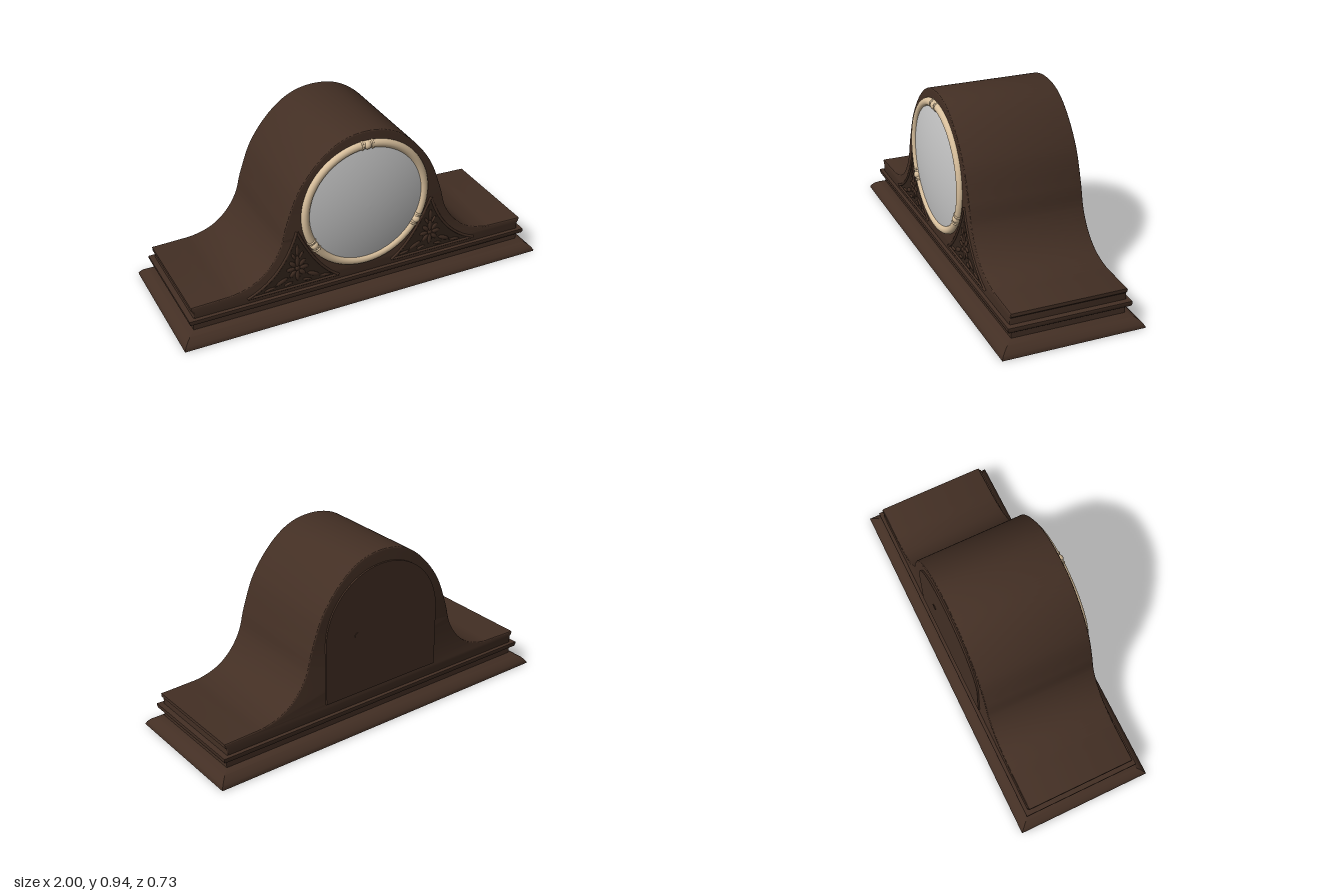
import * as THREE from 'three';
import { toCreasedNormals } from 'three/addons/utils/BufferGeometryUtils.js';

const V2 = (x, y) => new THREE.Vector2(x, y);
const V3 = (x, y, z) => new THREE.Vector3(x, y, z);
const DIAL_Y = 0.538;

// Rectangular moulding: each profile point is [half depth, height]
function mouldingGeometry(profile, extraX) {
  const pos = [];
  const rings = profile.map(([d, y]) =>
    [[1, 1], [1, -1], [-1, -1], [-1, 1]].map(([sx, sz]) => [sx * (d + extraX), y, sz * d]));
  const tri = (...p) => p.forEach((v) => pos.push(...v));
  for (let i = 0; i < rings.length - 1; i++) {
    for (let k = 0; k < 4; k++) {
      const n = (k + 1) % 4;
      const a = rings[i][k], b = rings[i][n], c = rings[i + 1][n], d = rings[i + 1][k];
      tri(a, b, c);
      tri(a, c, d);
    }
  }
  const lo = rings[0], hi = rings[rings.length - 1];
  tri(lo[0], lo[3], lo[2]);
  tri(lo[0], lo[2], lo[1]);
  tri(hi[0], hi[1], hi[2]);
  tri(hi[0], hi[2], hi[3]);
  const g = new THREE.BufferGeometry();
  g.setAttribute('position', new THREE.Float32BufferAttribute(pos, 3));
  return toCreasedNormals(g, 0.6);
}

// Humped silhouette extruded through the depth
function bodyGeometry() {
  const half = [[0.935, 0.193], [0.8, 0.197], [0.7, 0.204], [0.6, 0.238], [0.52, 0.305], [0.462, 0.40],
    [0.428, 0.52], [0.364, 0.685], [0.257, 0.825], [0.136, 0.911]];
  const curve = [
    ...half.map(([x, y]) => V2(x, y)), V2(0, 0.937),
    ...half.slice().reverse().map(([x, y]) => V2(-x, y)),
  ];
  const shape = new THREE.Shape();
  shape.moveTo(-0.925, 0.12);
  shape.lineTo(0.925, 0.12);
  shape.lineTo(0.925, 0.165);
  shape.lineTo(0.935, 0.175);
  shape.lineTo(0.935, 0.193);
  shape.splineThru(curve.slice(1));
  shape.lineTo(-0.935, 0.175);
  shape.lineTo(-0.925, 0.165);
  const b = 0.008;
  const g = new THREE.ExtrudeGeometry(shape, {
    depth: 0.6 - 2 * b, bevelEnabled: true, bevelSize: b, bevelThickness: b,
    bevelOffset: -b, bevelSegments: 3, curveSegments: 72,
  });
  g.translate(0, 0, -0.3 + b);
  return toCreasedNormals(g, 0.5);
}

export function createModel() {
  const model = new THREE.Group();
  model.name = 'mantelClock';
  const mat = (name, color) => {
    const m = new THREE.MeshStandardMaterial({ color });
    m.name = name;
    return m;
  };
  const wood = mat('dark walnut', 0x432f24);
  const recess = mat('shadowed walnut', 0x32241b);
  const brass = mat('pale brass', 0xd8bf9c);
  const glass = mat('grey glass', 0xc8c8c8);
  const add = (name, geo, material, parent = model) => {
    const m = new THREE.Mesh(geo, material);
    m.name = name;
    parent.add(m);
    return m;
  };

  // Stepped plinth and case
  add('base', mouldingGeometry([
    [0.367, 0], [0.367, 0.006], [0.359, 0.02], [0.345, 0.035], [0.325, 0.048], [0.293, 0.06],
    [0.293, 0.096], [0.305, 0.097], [0.314, 0.104], [0.318, 0.115], [0.318, 0.129], [0.3, 0.131],
  ], 0.634), wood);
  add('case', bodyGeometry(), wood);

  // Domed glass
  const dome = [];
  for (let i = 0; i <= 12; i++) {
    const r = 0.318 * (1 - i / 12);
    dome.push(V2(r, 0.306 + 0.034 * (1 - (r / 0.318) ** 2)));
  }
  const glassMesh = add('dialGlass', new THREE.LatheGeometry(dome, 64).rotateX(Math.PI / 2), glass);
  glassMesh.position.y = DIAL_Y;

  // Bezel with three bound knots
  const bezel = new THREE.Group();
  bezel.name = 'bezel';
  bezel.position.set(0, DIAL_Y, 0.3);
  model.add(bezel);
  add('bezelRing', new THREE.TorusGeometry(0.329, 0.0215, 16, 80), brass, bezel);
  for (const deg of [90, 210, 330]) {
    const knot = new THREE.Group();
    knot.name = 'bezelKnot';
    knot.rotation.z = THREE.MathUtils.degToRad(deg);
    bezel.add(knot);
    const bead = add('knotBead', new THREE.SphereGeometry(0.022, 20, 14), brass, knot);
    bead.position.set(0.329, 0, 0.007);
    for (const s of [-1, 1]) {
      const wrap = add('knotWrap', new THREE.TorusGeometry(0.021, 0.005, 8, 24), brass, knot);
      wrap.rotation.x = Math.PI / 2;
      wrap.position.set(0.328, s * 0.028, 0);
    }
  }

  // Carved corner panels beside the dial
  const leafGeo = new THREE.SphereGeometry(1, 12, 8);
  for (const side of [-1, 1]) {
    const panel = new THREE.Group();
    panel.name = side > 0 ? 'leftCarving' : 'rightCarving';
    model.add(panel);
    const p = (x, y) => V2(side * x, y);
    const outline = new THREE.Shape();
    outline.moveTo(side * 0.15, 0.157);
    outline.lineTo(side * 0.645, 0.157);
    outline.quadraticCurveTo(side * 0.45, 0.23, side * 0.375, 0.475);
    outline.quadraticCurveTo(side * 0.27, 0.23, side * 0.15, 0.157);
    add('carvingGround', new THREE.ShapeGeometry(outline, 16), recess, panel).position.z = 0.301;
    for (const c of outline.curves) {
      const pts = c.getPoints(16).map((q) => V3(q.x, q.y, 0.301));
      add('carvingFrame', new THREE.TubeGeometry(new THREE.CatmullRomCurve3(pts), 24, 0.007, 8), wood, panel);
    }
    const leaf = (x, y, angle, length, width) => {
      const q = p(x, y);
      const m = add('carvedLeaf', leafGeo, wood, panel);
      m.scale.set(length, width, 0.006);
      m.rotation.z = side > 0 ? angle : Math.PI - angle;
      m.position.set(q.x, q.y, 0.302);
    };
    // Central flower, then sprigs running to the corners
    for (let i = 0; i < 8; i++) {
      const a = i * Math.PI / 4 + Math.PI / 2;
      const long = i % 4 === 0 ? 0.034 : 0.024;
      leaf(0.375 + Math.cos(a) * 0.036, 0.262 + Math.sin(a) * 0.04, a, long, 0.012);
    }
    leaf(0.375, 0.262, 0, 0.014, 0.014);
    leaf(0.375, 0.365, Math.PI / 2, 0.034, 0.01);
    for (const s of [-1, 1]) {
      leaf(0.375 + s * 0.085, 0.205, -s * 0.45, 0.036, 0.012);
      leaf(0.375 + s * 0.15, 0.178, -s * 0.15, 0.032, 0.008);
      leaf(0.375 + s * 0.02, 0.335, Math.PI / 2 - s * 0.5, 0.022, 0.008);
      leaf(0.375 + s * 0.05, 0.182, -s * 0.2, 0.024, 0.008);
    }
  }

  // Arched rear door with its small pull
  const door = new THREE.Shape();
  door.moveTo(-0.35, 0.197);
  door.lineTo(0.35, 0.197);
  door.lineTo(0.35, 0.52);
  door.absarc(0, 0.52, 0.35, 0, Math.PI, false);
  door.lineTo(-0.35, 0.197);
  const doorGeo = new THREE.ExtrudeGeometry(door, { depth: 0.014, bevelEnabled: false, curveSegments: 40 });
  add('rearDoor', toCreasedNormals(doorGeo, 0.5), wood).position.z = -0.309;
  const pull = add('doorPull', new THREE.CylinderGeometry(0.016, 0.016, 0.006, 20), wood);
  pull.rotation.x = Math.PI / 2;
  pull.position.set(0.16, 0.525, -0.31);

  return model;
}
